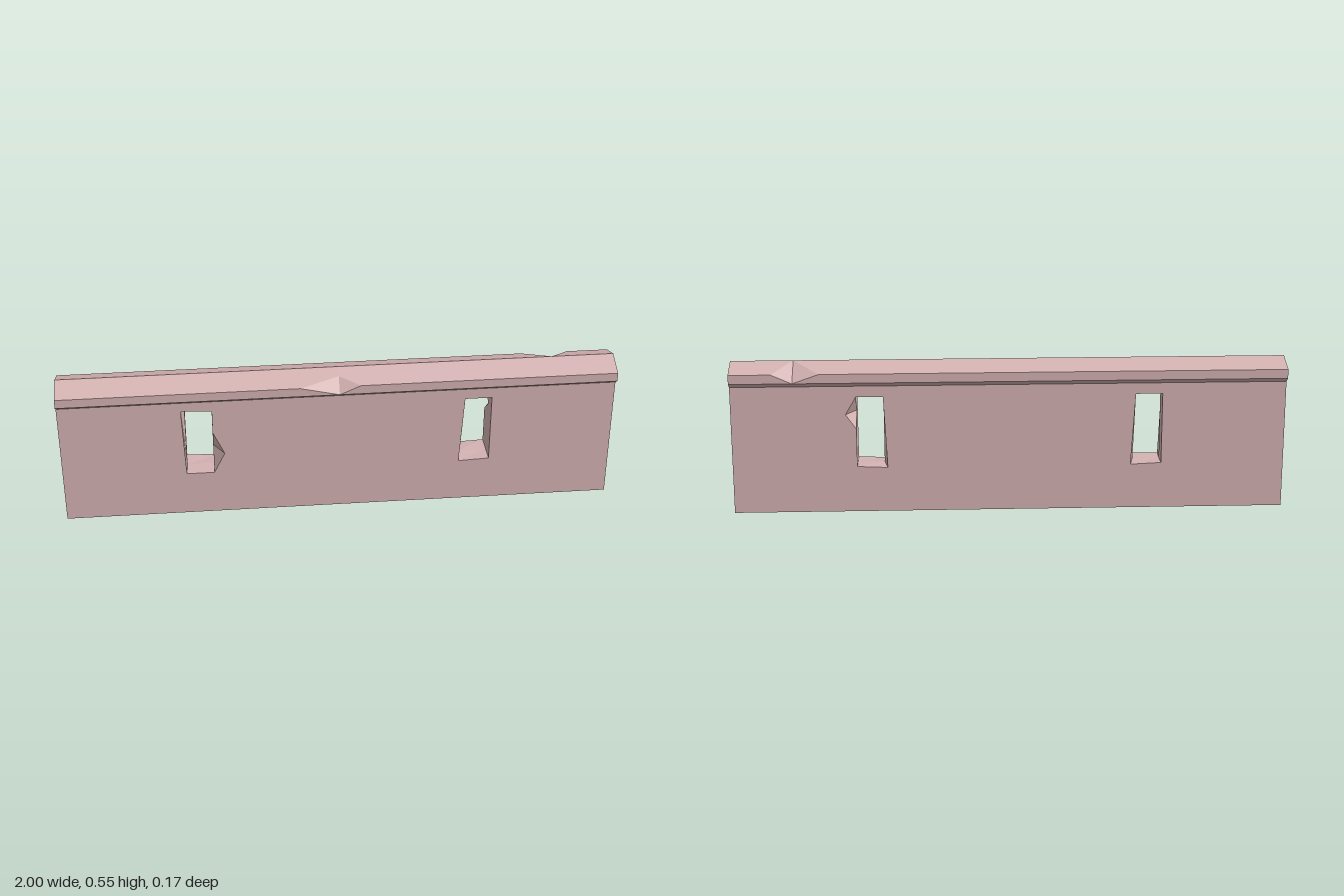
import * as THREE from 'three';

const WALL_Z = 0.064, CAP_Z = 0.087;              // half thicknesses
const WALL_TOP = 0.47, CAP_LOW = 0.487, CAP_EDGE = 0.52, RIDGE = 0.552;

const stone = new THREE.MeshStandardMaterial({ color: 0xd4b2b2 });
stone.name = 'dusty pink stone';

// Flat facets from a list of corner points, three per triangle
function facets(points) {
  const g = new THREE.BufferGeometry();
  g.setAttribute('position', new THREE.Float32BufferAttribute(points.flat(), 3));
  g.computeVertexNormals();
  return g;
}

// Triangulates a flat forward-facing panel, with optional openings
function panel(outline, holes = []) {
  const flat = (ring) => ring.map(([x, y]) => new THREE.Vector2(x, y));
  const all = [...outline, ...holes.flat()];
  return THREE.ShapeUtils.triangulateShape(flat(outline), holes.map(flat)).flatMap(([i, j, k]) => {
    const [a, b, c] = [all[i], all[j], all[k]];
    const area = (b[0] - a[0]) * (c[1] - a[1]) - (b[1] - a[1]) * (c[0] - a[0]);
    return area > 0 ? [a, b, c] : [a, c, b];
  });
}

// One face of the wall, with its window slits running in to mid-thickness
function wallSide(openings) {
  const rings = openings.map((o) => o.outline.map(([x, y]) => [x, y, WALL_Z]));
  const points = panel(
    [[-1, 0, WALL_Z], [1, 0, WALL_Z], [1, WALL_TOP, WALL_Z], [-1, WALL_TOP, WALL_Z]], rings);
  const clamp = THREE.MathUtils.clamp;
  rings.forEach((ring, r) => {
    const inner = ring.map(([x, y]) =>
      [Math.sign(x) * clamp(Math.abs(x), 0.455, 0.552), clamp(y, 0.17, 0.43), 0]);
    ring.forEach((p, i) => {
      const n = (i + 1) % ring.length;
      const q = ring[n], pi = inner[i], qi = inner[n];
      // the fold runs to the inner point of the broken edge
      if (i === openings[r].chip) points.push(p, q, pi, q, qi, pi);
      else points.push(p, q, qi, p, qi, pi);
    });
  });
  return facets(points);
}

// One side of the ridged coping, with a broken notch from left to right
function copingSide({ left, right, deep }) {
  const x = deep[0];
  const a = [left, CAP_EDGE, CAP_Z], b = [right, CAP_EDGE, CAP_Z], tip = [x, CAP_LOW, CAP_Z];
  const ridge = [x, RIDGE, 0];
  const touches = deep[1] === RIDGE;
  const points = [
    // underside
    ...panel([[-1, WALL_TOP, WALL_Z], [1, WALL_TOP, WALL_Z], [1, CAP_LOW, CAP_Z], [-1, CAP_LOW, CAP_Z]]),
    // upright edge on both sides of the notch
    ...panel([[-1, CAP_LOW, CAP_Z], tip, a, [-1, CAP_EDGE, CAP_Z]]),
    ...panel([tip, [1, CAP_LOW, CAP_Z], [1, CAP_EDGE, CAP_Z], b]),
    // slope on both sides of the notch
    ...panel([[-1, CAP_EDGE, CAP_Z], a, deep, ...(touches ? [] : [ridge]), [-1, RIDGE, 0]]),
    ...panel([b, [1, CAP_EDGE, CAP_Z], [1, RIDGE, 0], ...(touches ? [] : [ridge]), deep]),
    // broken faces
    a, tip, deep, tip, b, deep,
  ];
  return facets(points);
}

export function createModel() {
  const model = new THREE.Group();
  model.name = 'stoneWall';
  const add = (name, geometry) => {
    const mesh = new THREE.Mesh(geometry, stone);
    mesh.name = name;
    model.add(mesh);
    return mesh;
  };

  // Slits: corners run from top left, down and around; chip marks a broken edge
  const skewed = { outline: [[0.455, 0.43], [0.44, 0.165], [0.552, 0.17], [0.552, 0.43]] };
  const frontChipped = {
    outline: [[-0.565, 0.435], [-0.555, 0.17], [-0.455, 0.17], [-0.415, 0.25], [-0.455, 0.34], [-0.455, 0.43]],
    chip: 3,
  };
  const backChipped = {
    outline: [[-0.552, 0.43], [-0.59, 0.365], [-0.552, 0.31], [-0.552, 0.17], [-0.442, 0.165], [-0.455, 0.43]],
    chip: 1,
  };

  add('wallFront', wallSide([frontChipped, skewed]));
  add('wallBack', wallSide([backChipped, skewed])).rotation.y = Math.PI;
  add('copingFront', copingSide({ left: -0.14, right: 0.075, deep: [0, 0.5366, 0.042] }));
  add('copingBack', copingSide({ left: -0.85, right: -0.68, deep: [-0.775, RIDGE, 0] })).rotation.y = Math.PI;

  // End faces and base
  const half = [[WALL_Z, WALL_TOP], [CAP_Z, CAP_LOW], [CAP_Z, CAP_EDGE], [0, RIDGE]];
  const mirrored = half.slice(0, 3).reverse().map(([z, y]) => [-z, y]);
  const shape = (pts) => new THREE.Shape(pts.map(([x, y]) => new THREE.Vector2(x, y)));
  const copingEnd = shape([...half, ...mirrored]);
  const wallEnd = shape([[-WALL_Z, 0], [WALL_Z, 0], [WALL_Z, WALL_TOP], [-WALL_Z, WALL_TOP]]);
  for (const side of [1, -1]) {
    for (const [name, end] of [['wallEnd', wallEnd], ['copingEnd', copingEnd]]) {
      const mesh = add(name + (side > 0 ? 'Left' : 'Right'), new THREE.ShapeGeometry(end));
      mesh.rotation.y = side * Math.PI / 2;
      mesh.position.x = side;
    }
  }
  add('base', new THREE.PlaneGeometry(2, WALL_Z * 2).rotateX(Math.PI / 2));

  return model;
}
